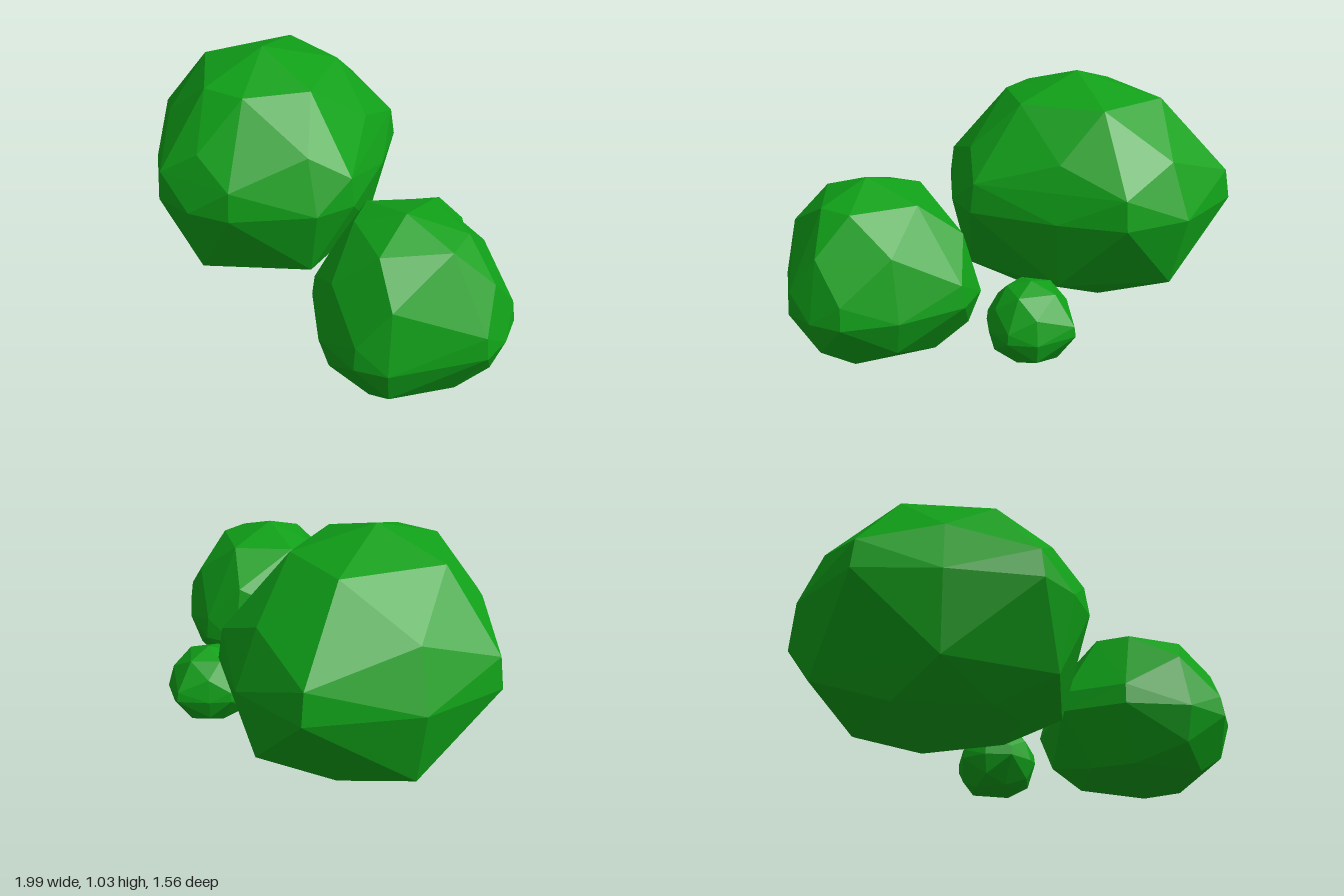
import * as THREE from 'three';
import { ConvexGeometry } from 'three/addons/geometries/ConvexGeometry.js';

// Build a faceted bush from its widest plan outline [x, z]. Staggered rings
// shrink toward the axis above and below the belly.
function makeBush(name, outline, { axis: [cx, cz], bottom, top, belly, foot }, material) {
  const height = top - bottom;
  const points = [new THREE.Vector3(cx, bottom, cz), new THREE.Vector3(cx, top, cz)];
  const addRing = (level, scale, corners) => {
    for (const [x, z] of corners) {
      points.push(new THREE.Vector3(cx + (x - cx) * scale, bottom + height * level, cz + (z - cz) * scale));
    }
  };
  const even = outline.filter((_, i) => i % 2 === 0);
  const odd = outline.filter((_, i) => i % 2 === 1);
  addRing(0.03, foot, even);
  addRing(0.14, 0.88, odd);
  addRing(belly, 1, outline);
  addRing(belly + 0.13, 0.97, even);
  addRing(0.7, 0.85, odd);
  addRing(0.9, 0.54, even);

  const mesh = new THREE.Mesh(new ConvexGeometry(points), material);
  mesh.name = name;
  return mesh;
}

export function createModel() {
  const group = new THREE.Group();
  group.name = 'bushes';
  const leaves = new THREE.MeshStandardMaterial({ color: 0x10a018, flatShading: true });

  // Large bush, leaning out toward its back corner
  const largePlan = [[-0.58, -0.78], [-0.22, -0.73], [0.03, -0.56], [0.12, -0.27], [0.19, 0.12],
    [0.1, 0.28], [-0.2, 0.5], [-0.39, 0.53], [-0.57, 0.5], [-0.82, 0.21], [-1, -0.08], [-0.89, -0.44]];
  group.add(makeBush('largeBush', largePlan,
    { axis: [-0.4, -0.08], bottom: 0.03, top: 1.03, belly: 0.46, foot: 0.53 }, leaves));

  // Medium bush, in front on the left
  const mediumPlan = [[0.14, 0.19], [0.4, -0.07], [0.56, -0.1], [0.81, 0.04], [0.97, 0.2],
    [0.99, 0.34], [0.97, 0.47], [0.69, 0.75], [0.56, 0.78], [0.36, 0.7], [0.19, 0.47]];
  group.add(makeBush('mediumBush', mediumPlan,
    { axis: [0.56, 0.38], bottom: 0, top: 0.725, belly: 0.35, foot: 0.67 }, leaves));

  // Small bush, behind the medium one
  const smallPlan = [[0.17, -0.35], [0.24, -0.42], [0.36, -0.5], [0.51, -0.41], [0.56, -0.3],
    [0.51, -0.18], [0.42, -0.11], [0.36, -0.1], [0.24, -0.13], [0.17, -0.23]];
  group.add(makeBush('smallBush', smallPlan,
    { axis: [0.36, -0.29], bottom: 0.01, top: 0.34, belly: 0.4, foot: 0.6 }, leaves));

  return group;
}
